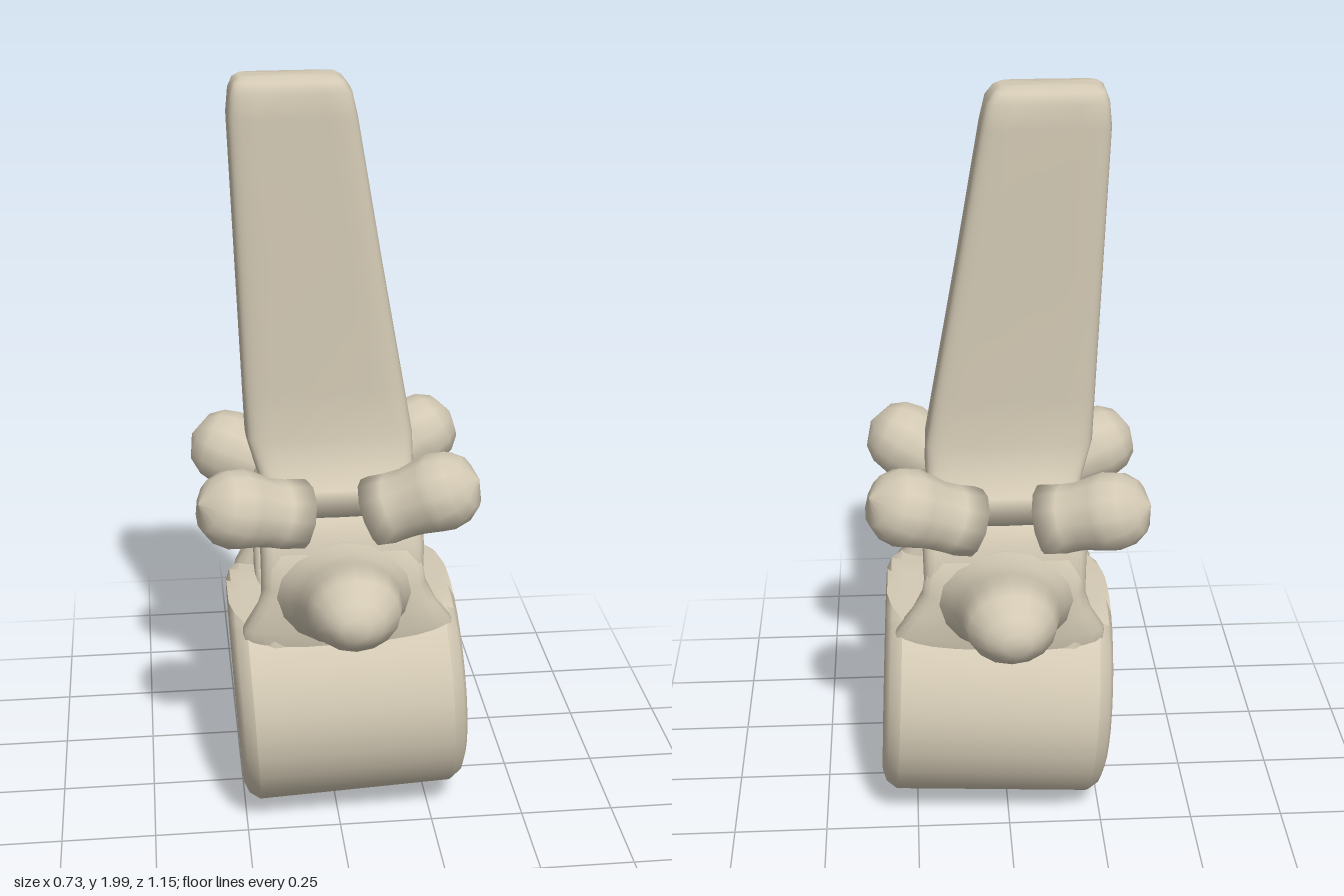
import * as THREE from 'three';
import { toCreasedNormals } from 'three/addons/utils/BufferGeometryUtils.js';

const bone = new THREE.MeshStandardMaterial({ color: 0xd3c9b4 });
bone.name = 'bone';

// Loft of superellipse rings: each ring is [x, y, z, radiusU, radiusV], u and v are axis names.
function loft(rings, u, v, power = 2, segs = 24) {
  const pos = [], index = [], last = rings.length - 1;
  const curve = (t) => Math.sign(t) * Math.pow(Math.abs(t), 2 / power);
  for (const [x, y, z, ru, rv] of rings) {
    for (let i = 0; i < segs; i++) {
      const a = (i / segs) * Math.PI * 2;
      const p = { x, y, z };
      p[u] += ru * curve(Math.cos(a));
      p[v] += rv * curve(Math.sin(a));
      pos.push(p.x, p.y, p.z);
    }
  }
  for (const r of [rings[0], rings[last]]) pos.push(r[0], r[1], r[2]);
  const c0 = rings.length * segs;
  for (let i = 0; i < segs; i++) {
    const j = (i + 1) % segs;
    for (let k = 0; k < last; k++) {
      const a = k * segs + i, b = k * segs + j;
      index.push(a, b, a + segs, b, b + segs, a + segs);
    }
    index.push(c0, j, i, c0 + 1, last * segs + i, last * segs + j);
  }
  // Turn all faces outward whichever way the rings run
  const P = (i) => new THREE.Vector3().fromArray(pos, i * 3);
  let volume = 0;
  for (let i = 0; i < index.length; i += 3) {
    volume += P(index[i]).dot(P(index[i + 1]).cross(P(index[i + 2])));
  }
  if (volume < 0) index.reverse();
  const g = new THREE.BufferGeometry();
  g.setAttribute('position', new THREE.Float32BufferAttribute(pos, 3));
  g.setIndex(index);
  g.computeVertexNormals();
  return g;
}

export function createModel() {
  const group = new THREE.Group();
  const add = (name, geometry) => {
    const mesh = new THREE.Mesh(geometry, bone);
    mesh.name = name;
    group.add(mesh);
    return mesh;
  };

  // Body: a tilted drum lying along x, flattened on top under the canal
  const drum = loft([
    [-0.3, 0, 0, 0.285, 0.275], [-0.288, 0, 0, 0.315, 0.305], [-0.26, 0, 0, 0.335, 0.325],
    [0.26, 0, 0, 0.335, 0.325], [0.288, 0, 0, 0.315, 0.305], [0.3, 0, 0, 0.285, 0.275],
  ], 'z', 'y', 2, 32);
  const p = drum.attributes.position;
  for (let i = 0; i < p.count; i++) p.setY(i, Math.min(p.getY(i), 0.272));
  const body = add('vertebralBody', toCreasedNormals(drum, 0.6));
  body.position.set(0.033, 0.345, 0);
  body.rotation.z = 0.052;

  // Arch around the canal
  const half = [[0.25, 0.5], [0.235, 0.62], [0.225, 0.72], [0.235, 0.82], [0.19, 0.9], [0.1, 0.94]];
  const outline = [...half, ...half.map(([z, y]) => [-z, y]).reverse()];
  const shape = new THREE.Shape(outline.map(([z, y]) => new THREE.Vector2(z, y)));
  const canal = [];
  for (let i = 0; i < 12; i++) {
    const a = (-i / 12) * Math.PI * 2;
    canal.push(new THREE.Vector2(0.14 * Math.cos(a), 0.745 + 0.137 * Math.sin(a)));
  }
  shape.holes.push(new THREE.Path(canal));
  const arch = new THREE.ExtrudeGeometry(shape, {
    depth: 0.36, bevelEnabled: true, bevelSize: 0.03, bevelOffset: -0.03, bevelThickness: 0.03, bevelSegments: 3,
  });
  arch.translate(0, 0, -0.18).rotateY(-Math.PI / 2).translate(0.01, 0, 0);
  add('arch', toCreasedNormals(arch, 0.9));

  // Tall blade, flaring into the arch at its foot: [y, xMin, xMax, halfThickness]
  const blade = [
    [0.9, -0.18, 0.2, 0.19], [0.95, -0.19, 0.205, 0.14], [1.0, -0.205, 0.21, 0.105],
    [1.07, -0.225, 0.208, 0.083], [1.2, -0.23, 0.185, 0.077], [1.55, -0.243, 0.122, 0.076],
    [1.9, -0.256, 0.062, 0.075], [1.96, -0.25, 0.048, 0.072], [1.985, -0.24, 0.03, 0.058], [1.997, -0.225, 0.012, 0.035],
  ].map(([y, a, b, t]) => [(a + b) / 2, y, 0, (b - a) / 2, t]);
  add('spinousProcess', loft(blade, 'x', 'z', 6, 40));

  for (const s of [1, -1]) {
    const side = s > 0 ? 'front' : 'back';

    // Pedicles blend the arch into the body
    add(side + 'Pedicle', loft([
      [0.025, 0.48, s * 0.19, 0.285, 0.05], [0.025, 0.6, s * 0.195, 0.275, 0.055],
      [0.02, 0.66, s * 0.2, 0.235, 0.058], [0.015, 0.72, s * 0.2, 0.21, 0.055], [0.01, 0.82, s * 0.2, 0.2, 0.045],
    ], 'x', 'z', 3));

    // Transverse processes reach out to the front and back
    add(side + 'TransverseProcess', loft([
      [0.01, 0.695, s * 0.17, 0.205, 0.155], [0.01, 0.7, s * 0.23, 0.18, 0.145],
      [0.01, 0.715, s * 0.29, 0.15, 0.13], [0.01, 0.74, s * 0.36, 0.132, 0.117],
      [0.01, 0.775, s * 0.45, 0.12, 0.112], [0.01, 0.785, s * 0.51, 0.108, 0.098],
      [0.005, 0.782, s * 0.555, 0.07, 0.062], [0, 0.78, s * 0.575, 0.035, 0.03],
    ], 'x', 'y', 2, 16));

    // Articular processes: four rounded knobs on short necks
    for (const m of [1, -1]) {
      const lift = m > 0 ? 0.015 : -0.01;
      const base = new THREE.Vector3(m * 0.1, 0.885, s * 0.145);
      const ball = new THREE.Vector3(m * 0.262, 0.95 + lift, s * 0.2);
      const dir = ball.clone().sub(base);
      const len = dir.length();
      const profile = [[0, -0.02], [0.1, 0], [0.092, 0.06], [0.09, len * 0.55], [0.1, len - 0.03],
        [0.104, len], [0.094, len + 0.045], [0.068, len + 0.08], [0, len + 0.106]];
      const knob = add(side + (m > 0 ? 'Left' : 'Right') + 'ArticularProcess',
        new THREE.LatheGeometry(profile.map(([r, y]) => new THREE.Vector2(r, y)), 12));
      knob.position.copy(base);
      knob.quaternion.setFromUnitVectors(new THREE.Vector3(0, 1, 0), dir.normalize());
    }
  }
  return group;
}
